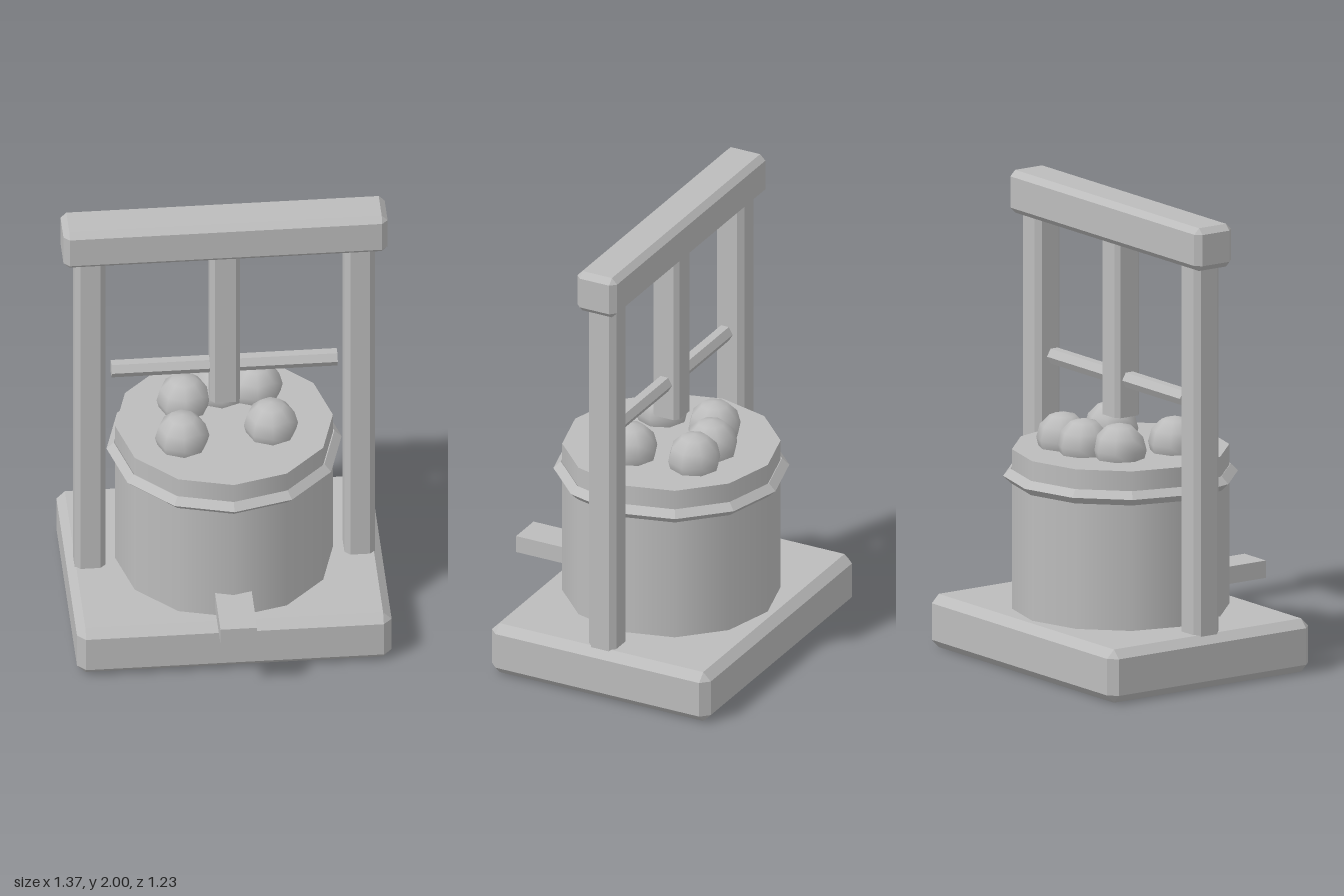
import * as THREE from 'three';
import { ConvexGeometry } from 'three/addons/geometries/ConvexGeometry.js';

const AXIS_Z = -0.09; // depth of the screw, posts and barrel

// Box with chamfered edges; with squareEnds the top and bottom rims stay sharp.
function chamferBox(w, h, d, c, squareEnds = false) {
  const [x, y, z] = [w / 2, h / 2, d / 2];
  const points = [];
  for (const sx of [-1, 1]) for (const sy of [-1, 1]) for (const sz of [-1, 1]) {
    const add = (px, py, pz) => points.push(new THREE.Vector3(sx * px, sy * py, sz * pz));
    if (squareEnds) {
      add(x, y, z - c);
      add(x - c, y, z);
    } else {
      add(x, y - c, z - c);
      add(x - c, y, z - c);
      add(x - c, y - c, z);
    }
  }
  return new ConvexGeometry(points);
}

export function createModel() {
  const group = new THREE.Group();
  const grey = new THREE.MeshStandardMaterial({ color: 0xbcbcbc });
  grey.name = 'grey';
  const flatGrey = grey.clone();
  flatGrey.flatShading = true;

  const add = (name, geometry, x, y, z, material = grey) => {
    const mesh = new THREE.Mesh(geometry, material);
    mesh.name = name;
    mesh.position.set(x, y, z);
    group.add(mesh);
    return mesh;
  };

  // Frame: base slab, two posts and a cross beam
  add('base', chamferBox(1.33, 0.23, 1.045, 0.036), 0, 0.115, -0.093);
  for (const [name, side] of [['leftPost', 1], ['rightPost', -1]]) {
    add(name, chamferBox(0.13, 1.62, 0.13, 0.023, true), side * 0.57, 1.03, AXIS_Z);
  }
  add('crossBeam', chamferBox(1.37, 0.185, 0.19, 0.025), 0, 1.9075, AXIS_Z);

  // Pressing screw and its turning bar
  add('screw', chamferBox(0.125, 0.78, 0.125, 0.018, true), 0, 1.45, AXIS_Z);
  const bar = add('turningBar', new THREE.CylinderGeometry(0.037, 0.037, 0.955, 6), 0, 1.222, AXIS_Z, flatGrey);
  bar.rotation.z = Math.PI / 2;

  // Twelve-sided barrel with a hoop
  add('barrel', new THREE.CylinderGeometry(0.46, 0.46, 0.71, 12), 0, 0.565, AXIS_Z);
  const hoop = add('hoop', new THREE.TorusGeometry(0.466, 0.031, 4, 12), 0, 0.805, AXIS_Z, flatGrey);
  hoop.rotation.x = Math.PI / 2;

  // Spout
  add('spout', new THREE.BoxGeometry(0.155, 0.075, 0.29), 0, 0.307, 0.465);

  // Fruit on top of the barrel
  const spots = [[0, -0.28], [0.15, -0.28], [-0.16, -0.21], [-0.19, 0.055], [0.19, 0]];
  const fruit = new THREE.SphereGeometry(0.115, 8, 6);
  spots.forEach(([x, z], i) => add(`fruit${i + 1}`, fruit, x, 0.955, z));

  return group;
}
